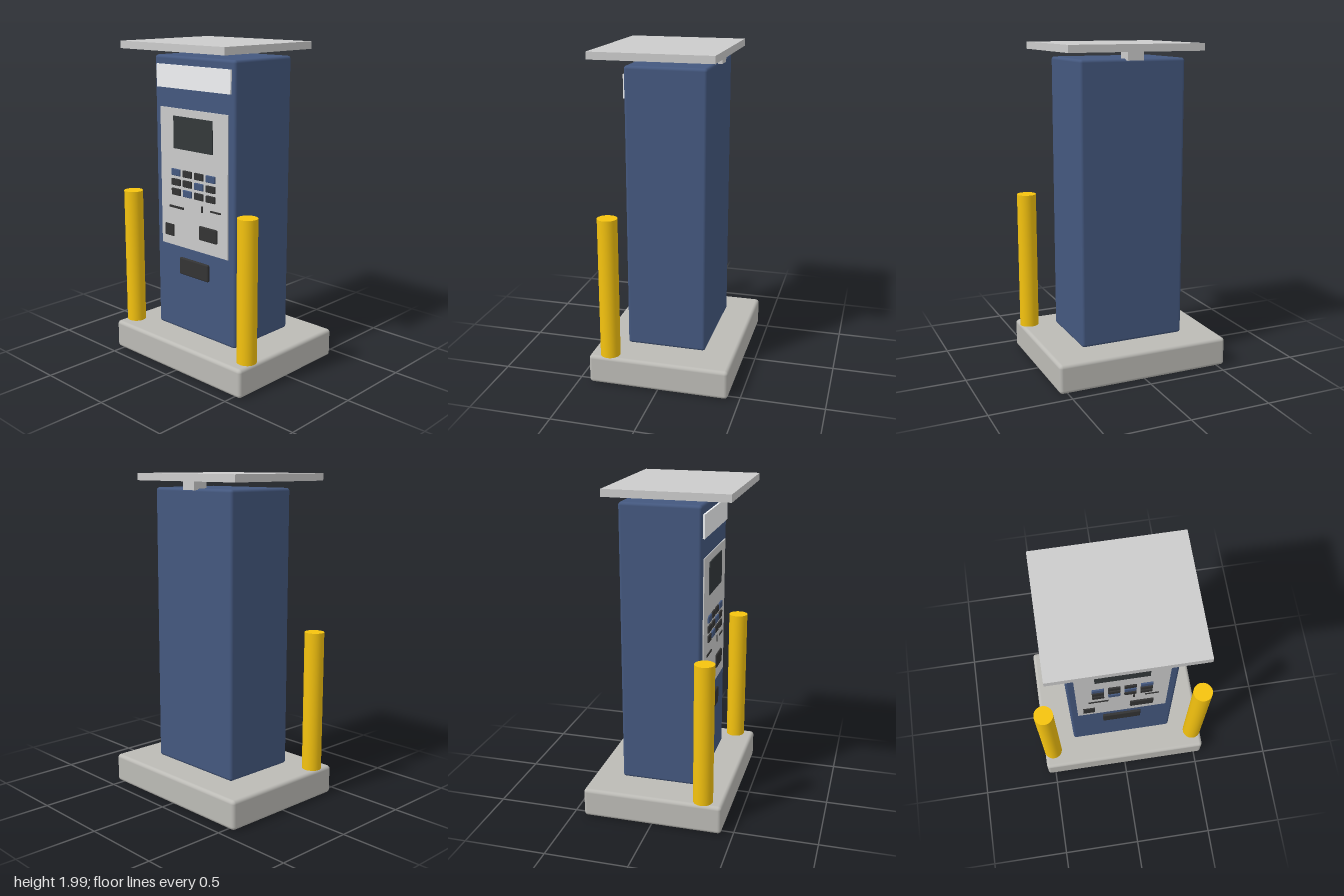
import * as THREE from 'three';
import { RoundedBoxGeometry } from 'three/addons/geometries/RoundedBoxGeometry.js';

const material = (color) => new THREE.MeshStandardMaterial({ color });

export function createModel() {
  const model = new THREE.Group();
  const grey = material(0xcccccc);
  const concrete = material(0xbcbbb6);
  const blue = material(0x44587f);
  const yellow = material(0xf5c30f);
  const white = material(0xf0f2f4);
  const black = material(0x333333);
  const glass = material(0x33383a);

  // Box given by its limits on each axis; radius > 0 rounds its edges
  function box(name, mat, [x0, x1], [y0, y1], [z0, z1], radius = 0, parent = model) {
    const size = [x1 - x0, y1 - y0, z1 - z0];
    const geometry = radius
      ? new RoundedBoxGeometry(...size, 3, radius)
      : new THREE.BoxGeometry(...size);
    const mesh = new THREE.Mesh(geometry, mat);
    mesh.name = name;
    mesh.position.set((x0 + x1) / 2, (y0 + y1) / 2, (z0 + z1) / 2);
    parent.add(mesh);
    return mesh;
  }

  // Plinth, cabinet and canopy
  box('plinth', concrete, [-0.55, 0.55], [0.006, 0.186], [-0.43, 0.43], 0.022);
  box('cabinet', blue, [-0.335, 0.335], [0.192, 1.915], [-0.243, 0.245], 0.018);
  box('canopyBracket', grey, [-0.05, 0.05], [1.905, 1.958], [-0.268, -0.17]);
  box('canopy', grey, [-0.43, 0.43], [1.956, 2], [-0.308, 0.43]);

  // Front fittings
  box('headerSign', white, [-0.307, 0.307], [1.725, 1.863], [0.235, 0.257]);
  box('controlPanel', grey, [-0.284, 0.284], [0.746, 1.606], [0.235, 0.252]);
  box('screen', glass, [-0.164, 0.164], [1.362, 1.56], [0.24, 0.258]);

  // Keypad: three rows of four, some keys blue
  const keypad = new THREE.Group();
  keypad.name = 'keypad';
  model.add(keypad);
  const blueKeys = [0, 3, 6, 9];
  for (let i = 0; i < 12; i++) {
    const x = -0.148 + (i % 4) * 0.0987;
    const y = 1.214 - Math.floor(i / 4) * 0.061;
    box('key', blueKeys.includes(i) ? blue : black,
      [x - 0.037, x + 0.037], [y - 0.021, y + 0.021], [0.245, 0.262], 0.004, keypad);
  }

  // Slots, reader and trays
  box('noteSlot', black, [-0.21, -0.085], [0.987, 1.001], [0.245, 0.257]);
  box('coinSlot', black, [0.068, 0.079], [0.998, 1.038], [0.245, 0.257]);
  box('cardSlot', black, [0.143, 0.228], [1.013, 1.024], [0.245, 0.257]);
  box('cardReader', black, [-0.247, -0.173], [0.804, 0.878], [0.245, 0.26]);
  box('ticketTray', black, [0.05, 0.2], [0.825, 0.913], [0.24, 0.262], 0.008);
  box('coinTray', black, [-0.124, 0.124], [0.569, 0.677], [0.235, 0.26], 0.008);

  // Bollards either side of the front
  for (const side of [-1, 1]) {
    const bollard = new THREE.Mesh(new THREE.CylinderGeometry(0.06, 0.06, 0.87, 32), yellow);
    bollard.name = side > 0 ? 'leftBollard' : 'rightBollard';
    bollard.position.set(side * 0.492, 0.62, 0.308);
    model.add(bollard);
  }

  return model;
}
